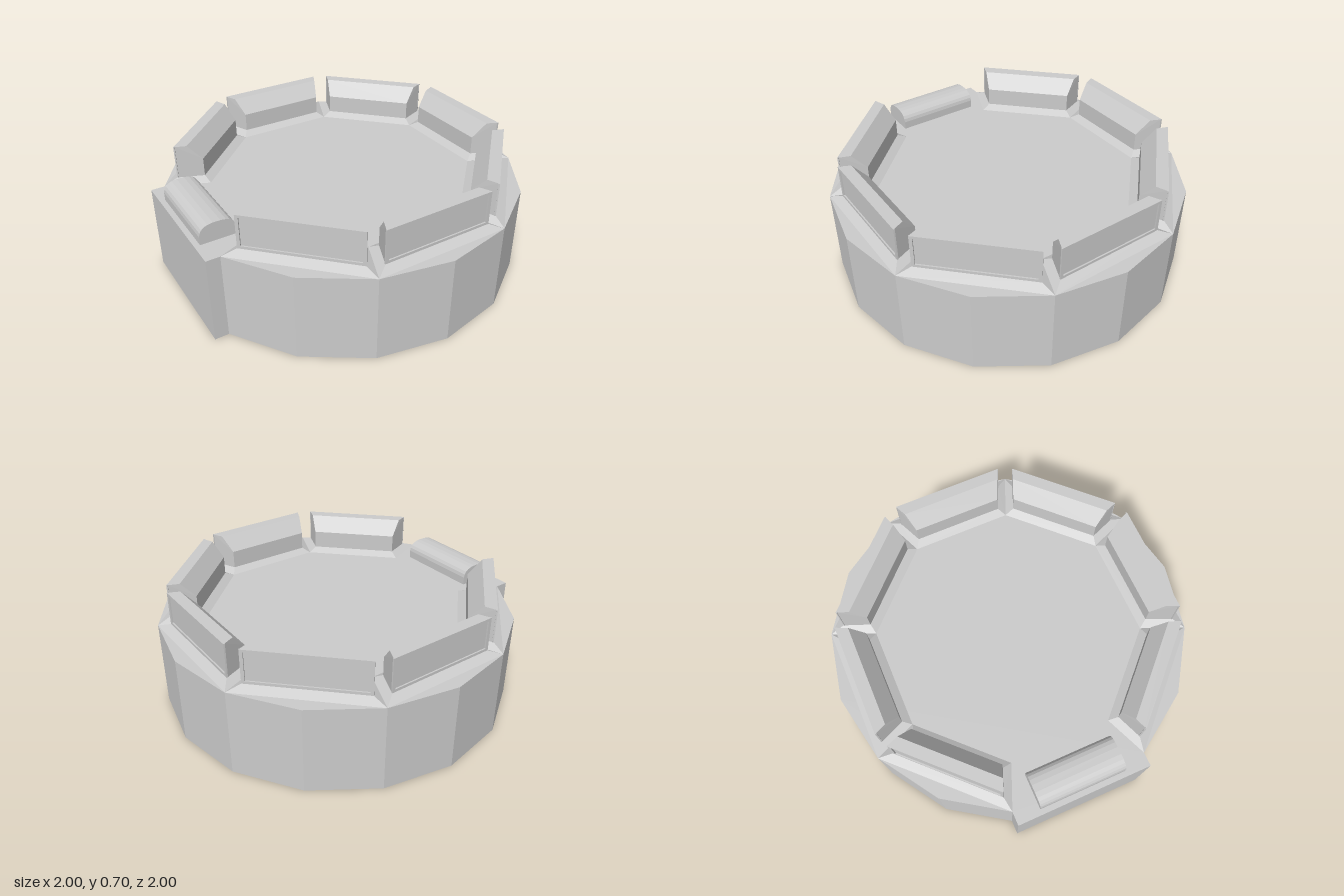
import * as THREE from 'three';
import { ConvexGeometry } from 'three/addons/geometries/ConvexGeometry.js';

const material = new THREE.MeshStandardMaterial({ color: 0xcccccc, flatShading: true });
const BASE_TOP = 0.49;

function mesh(name, geometry) {
  const m = new THREE.Mesh(geometry, material);
  m.name = name;
  return m;
}

// Convex solid mirrored in x, from [halfWidth, y, z] corners
function mirroredHull(corners) {
  return new ConvexGeometry(corners.flatMap(([h, y, z]) => [
    new THREE.Vector3(h, y, z), new THREE.Vector3(-h, y, z),
  ]));
}

// Sixteen-sided base with a squared-off entrance on the right side
function createBase() {
  const points = [];
  for (let i = 0; i < 16; i++) {
    const a = (i * Math.PI) / 8;
    if (i === 8) points.push(new THREE.Vector2(-1, 0.383), new THREE.Vector2(-1, -0.383));
    else points.push(new THREE.Vector2(Math.cos(a), Math.sin(a)));
  }
  const geometry = new THREE.ExtrudeGeometry(new THREE.Shape(points), { depth: BASE_TOP, bevelEnabled: false });
  return mesh('base', geometry.rotateX(-Math.PI / 2));
}

// One wall section, outward along +z: sloped plinth, wedge body, framed outer face
function createWallSection() {
  const section = new THREE.Group();
  section.add(mesh('plinth', mirroredHull([
    [0.383, BASE_TOP, 0.924], [0.286, BASE_TOP, 0.69],
    [0.315, 0.515, 0.875], [0.255, 0.515, 0.735],
  ])));
  section.add(mesh('wallBody', mirroredHull([
    [0.312, 0.515, 0.867], [0.312, 0.705, 0.867],
    [0.286, 0.705, 0.81], [0.255, 0.62, 0.735], [0.255, 0.515, 0.735],
  ])));

  // Thin border leaves a shallow recessed panel
  const rectangle = (h, y0, y1) => [[-h, y0], [h, y0], [h, y1], [-h, y1]].map(p => new THREE.Vector2(...p));
  const border = new THREE.Shape(rectangle(0.315, 0.515, 0.705));
  border.holes.push(new THREE.Path(rectangle(0.297, 0.53, 0.69)));
  const frame = new THREE.ExtrudeGeometry(border, { depth: 0.008, bevelEnabled: false });
  section.add(mesh('panelBorder', frame.translate(0, 0, 0.867)));
  return section;
}

// Rounded bolster lying across the entrance
function createBolster() {
  const half = [[0.0975, 0], [0.0975, 0.045], [0.093, 0.065], [0.083, 0.081], [0.068, 0.094], [0.048, 0.101], [0.02, 0.105]];
  const profile = [...half, ...half.map(([x, y]) => [-x, y]).reverse()].map(p => new THREE.Vector2(...p));
  const geometry = new THREE.ExtrudeGeometry(new THREE.Shape(profile), { depth: 0.49, bevelEnabled: false });
  return mesh('bolster', geometry.translate(-0.8725, BASE_TOP, -0.245));
}

export function createModel() {
  const model = new THREE.Group();
  model.name = 'roundPlatform';
  model.add(createBase(), createBolster());

  // Seven sections around an octagon; the entrance side stays open
  for (let i = 0; i < 8; i++) {
    if (i === 6) continue;
    const section = createWallSection();
    section.name = `wallSection${i}`;
    section.rotation.y = (i * Math.PI) / 4;
    model.add(section);
  }
  return model;
}
